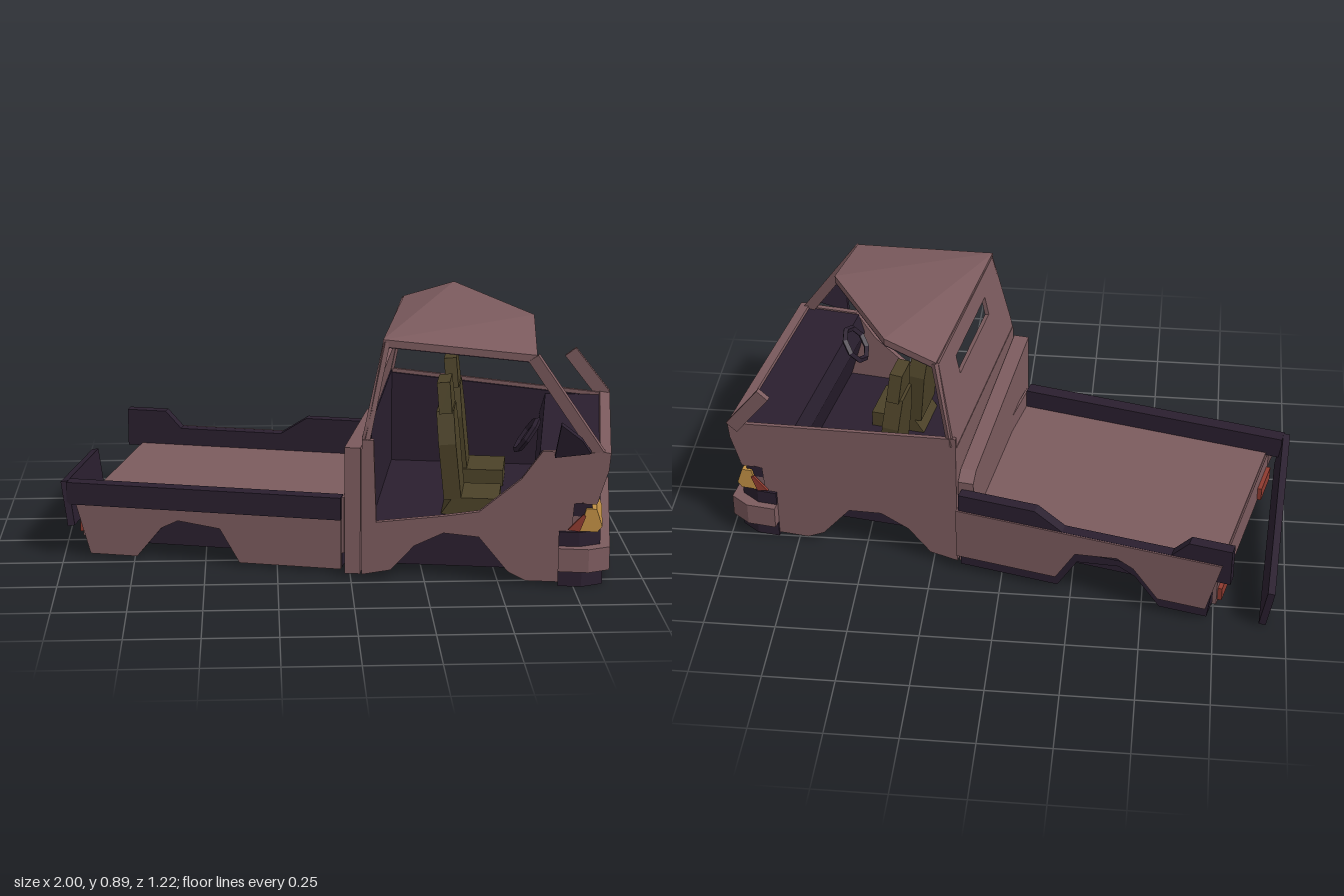
import * as THREE from 'three';

const mat = (name, color, side = THREE.FrontSide) => {
  const m = new THREE.MeshStandardMaterial({ color, side, flatShading: true });
  m.name = name;
  return m;
};

export function createModel() {
  const paint = mat('dusty body paint', 0x7c5b5e, THREE.DoubleSide);
  const dark = mat('dark trim', 0x2a1f2f, THREE.DoubleSide);
  const olive = mat('olive seats', 0x4c4228);
  const amber = mat('amber lamps', 0xc29145);
  const red = mat('red lamps', 0x8e3a30);

  const root = new THREE.Group();
  const cab = new THREE.Group();
  cab.name = 'cab';
  cab.position.set(0.1, 0, 0.05);
  cab.rotation.y = -0.155;
  const bed = new THREE.Group();
  bed.name = 'cargoBed';
  bed.position.set(0.06, 0, 0.01);
  bed.rotation.y = -0.232;
  root.add(cab, bed);

  const add = (parent, name, geo, m) => {
    const mesh = new THREE.Mesh(geo, m);
    mesh.name = name;
    parent.add(mesh);
    return mesh;
  };
  // Box given by its limits on each axis
  const box = (parent, name, m, x0, x1, y0, y1, z0, z1) => {
    const mesh = add(parent, name, new THREE.BoxGeometry(x1 - x0, y1 - y0, z1 - z0), m);
    mesh.position.set((x0 + x1) / 2, (y0 + y1) / 2, (z0 + z1) / 2);
  };
  const shape = (pts) => new THREE.Shape(pts.map((p) => new THREE.Vector2(...p)));
  const extrude = (s, depth) => new THREE.ExtrudeGeometry(s, { depth, bevelEnabled: false });
  // Side outline (x, y) pushed from z0 to z1
  const prismZ = (parent, name, m, pts, z0, z1) =>
    add(parent, name, extrude(shape(pts), z1 - z0).translate(0, 0, z0), m);
  // Plan outline (x, z) pushed from y0 to y1
  const prismY = (parent, name, m, pts, y0, y1) =>
    add(parent, name, extrude(shape(pts.map(([x, z]) => [x, -z])), y1 - y0).rotateX(-Math.PI / 2).translate(0, y0, 0), m);
  // Cross outline (-z, y) pushed along x
  const acrossX = (s, depth) => extrude(s, depth).rotateY(Math.PI / 2);
  // Bar between two points
  const bar = (parent, name, m, a, b, w, d = w) => {
    const p = new THREE.Vector3(...a), q = new THREE.Vector3(...b);
    const mesh = add(parent, name, new THREE.BoxGeometry(w, d, p.distanceTo(q)), m);
    mesh.position.copy(p).lerp(q, 0.5);
    mesh.lookAt(q);
  };
  // Roof skin: a fan with a skirt, or only the underside fan
  const sheet = (top, drop, lid) => {
    const v = [];
    const low = top.map(([x, y, z]) => [x, y - drop, z]);
    for (let i = 0; i < top.length; i++) {
      const j = (i + 1) % top.length;
      if (lid && i > 0 && j > 0) v.push(...top[0], ...top[i], ...top[j]);
      if (lid) v.push(...top[i], ...low[i], ...low[j], ...top[i], ...low[j], ...top[j]);
      if (!lid && i > 0 && j > 0) v.push(...low[0], ...low[j], ...low[i]);
    }
    const g = new THREE.BufferGeometry();
    g.setAttribute('position', new THREE.Float32BufferAttribute(v, 3));
    g.computeVertexNormals();
    return g;
  };

  // Cab sides: open doorway on one side, full door on the other
  const arch = [[0, 0.02], [0.1, 0.04], [0.18, 0.13], [0.28, 0.18], [0.4, 0.17], [0.5, 0.05], [0.56, 0.02], [0.7, 0.02]];
  const nose = [[0.72, 0.3], [0.8, 0.31], [0.825, 0.48]];
  prismZ(cab, 'openCabSide', paint,
    [...arch, ...nose, [0.61, 0.48], [0.54, 0.38], [0.4, 0.26], [0.28, 0.24], [0.05, 0.21], [0.04, 0.5], [0, 0.5]], 0.385, 0.405);
  prismZ(cab, 'doorCabSide', paint, [...arch, ...nose, [0, 0.555]], -0.405, -0.39);
  prismZ(cab, 'doorLining', dark, [[0.02, 0.2], [0.7, 0.2], [0.78, 0.47], [0.02, 0.54]], -0.389, -0.38);

  // Rear wall with its window, leaning forward above the belt
  box(cab, 'lowerRearWall', paint, 0, 0.015, 0.05, 0.51, -0.4, 0.4);
  box(cab, 'rearLining', dark, 0.016, 0.03, 0.2, 0.55, -0.38, 0.38);
  const wall = shape([[-0.4, 0], [0.4, 0], [0.4, 0.05], [0.36, 0.335], [-0.36, 0.335], [-0.4, 0.05]]);
  wall.holes.push(new THREE.Path([[-0.193, 0.19], [-0.193, 0.262], [0.195, 0.262], [0.195, 0.19]].map((p) => new THREE.Vector2(...p))));
  const upper = add(cab, 'upperRearWall', acrossX(wall, 0.015), paint);
  upper.position.y = 0.5;
  upper.rotation.z = -0.2;
  // Panel behind the cab, lower at one end
  const step = add(cab, 'headboard', acrossX(shape([[-0.4, 0.02], [0.4, 0.02], [0.4, 0.37], [0.36, 0.4], [-0.4, 0.47]]), 0.055), paint);
  step.position.x = -0.06;

  // Torn roof and surviving pillars
  const roof = [[0.11, 0.84, 0.42], [0.62, 0.8, 0.5], [0.65, 0.865, 0.17], [0.41, 0.895, -0.26], [0.23, 0.835, -0.3]];
  add(root, 'roof', sheet(roof, 0.025, true), paint);
  add(root, 'roofLining', sheet(roof, 0.027, false), dark);
  bar(root, 'frontPillar', paint, [0.61, 0.79, 0.49], [0.83, 0.47, 0.56], 0.025, 0.04);
  bar(root, 'rearPillar', paint, [0.055, 0.5, 0.44], [0.122, 0.83, 0.415], 0.018);
  bar(root, 'rearPillar', paint, [0.18, 0.52, -0.34], [0.235, 0.83, -0.295], 0.018);
  bar(root, 'brokenPillar', paint, [0.97, 0.47, -0.225], [0.845, 0.63, -0.25], 0.02, 0.05);

  // Nose, grille and bumper
  prismZ(cab, 'nosePanel', paint, [[0.8, 0.485], [0.837, 0.48], [0.832, 0.42], [0.795, 0.3], [0.75, 0.3]], -0.405, 0.405);
  box(cab, 'grilleTop', dark, 0.7, 0.78, 0.255, 0.3, -0.4, 0.4);
  box(cab, 'grilleBar', paint, 0.7, 0.775, 0.218, 0.255, -0.4, 0.4);
  const bumper = (f, w) => [[0.67, -w], [f - 0.07, -w], [f, -w + 0.04], [f, w - 0.04], [f - 0.07, w], [0.67, w]];
  prismY(cab, 'bumperTop', dark, bumper(0.81, 0.415), 0.15, 0.202);
  prismY(cab, 'grilleBase', dark, bumper(0.78, 0.4), 0.2, 0.219);
  prismY(cab, 'bumper', paint, bumper(0.843, 0.443), 0.07, 0.152);
  prismY(cab, 'bumperBottom', dark, bumper(0.82, 0.412), 0.008, 0.07);
  for (const s of [-1, 1]) {
    const z = [s * 0.18, s * 0.41].sort((a, b) => a - b);
    prismZ(cab, 'headlight', amber, [[0.74, 0.205], [0.8, 0.205], [0.815, 0.225], [0.795, 0.285], [0.76, 0.285]], ...z);
    prismZ(cab, 'cornerLamp', red, [[0.7, 0.21], [0.74, 0.205], [0.76, 0.26], [0.75, 0.265]], s * 0.412 - 0.004, s * 0.412 + 0.004);
  }
  // Mirror leaning out from the doorway
  const mirror = prismZ(cab, 'sideMirror', dark, [[0.65, 0], [0.67, 0.13], [0.74, 0.07], [0.77, 0.02]], 0, 0.02);
  mirror.position.set(0, 0.47, 0.405);
  mirror.rotation.x = 0.3;

  // Cab floor, chassis and dashboard
  box(cab, 'cabFloor', dark, 0.01, 0.72, 0.185, 0.2, -0.388, 0.384);
  prismZ(cab, 'cabUnderbody', dark, [...arch, [0.7, 0.19], [0, 0.19]], -0.388, 0.384);
  box(cab, 'cabChassis', dark, 0, 0.6, 0.01, 0.18, -0.25, 0.25);
  prismZ(cab, 'dashboard', dark, [[0.64, 0.2], [0.78, 0.3], [0.8, 0.475], [0.6, 0.475], [0.58, 0.4]], -0.385, 0.384);
  const wheel = add(cab, 'steeringWheel', new THREE.TorusGeometry(0.065, 0.012, 4, 8), dark);
  wheel.position.set(0.55, 0.475, 0.19);
  wheel.rotation.set(0, Math.PI / 2, -0.6, 'ZYX');

  // Seats
  for (const [z, w] of [[-0.18, 0.85], [0.165, 1]]) {
    prismZ(cab, 'seatCushion', olive, [[0.26, 0.2], [0.46, 0.2], [0.46, 0.26], [0.3, 0.26]], z - 0.09, z + 0.09);
    const back = acrossX(shape([[-0.09, 0], [0.09, 0], [0.1, 0.2], [0.065, 0.31], [-0.065, 0.31], [-0.1, 0.2]]), 0.06);
    const rest = acrossX(shape([[-0.085, 0], [0.085, 0], [0.06, 0.105], [-0.06, 0.105]]), 0.045);
    for (const [name, g, x, y] of [['seatBack', back, 0.27, 0.25], ['headrest', rest, 0.25, 0.555]]) {
      const m = add(cab, name, g, olive);
      m.position.set(x, y, z);
      m.rotation.z = 0.1;
      m.scale.z = w;
    }
  }

  // Cargo bed
  const bedSide = [[-0.95, 0.2], [-0.9, 0.02], [-0.73, 0.02], [-0.64, 0.13], [-0.58, 0.16], [-0.43, 0.14], [-0.36, 0.02], [0, 0.02], [0, 0.2]];
  prismZ(bed, 'bedSide', paint, bedSide, 0.38, 0.395);
  // Pushed-up side, with the dark sill showing below it
  prismZ(bed, 'raisedBedSide', paint, bedSide.map(([x, y]) => [x, y + (y < 0.2 ? 0.055 : 0.075)]), -0.412, -0.406);
  prismZ(bed, 'bedUnderbody', dark, bedSide.map(([x, y]) => [Math.max(x, -0.92), Math.min(y, 0.188)]), -0.385, 0.379);
  box(bed, 'bedChassis', dark, -0.88, 0, 0.02, 0.18, -0.25, 0.25);
  box(bed, 'bedFloor', paint, -0.925, 0, 0.19, 0.21, -0.38, 0.38);
  box(bed, 'bedFrontPanel', paint, 0, 0.008, 0.075, 0.275, -0.412, 0.38);
  box(bed, 'bedRearPanel', paint, -0.93, -0.915, 0.08, 0.2, -0.38, 0.38);
  for (const s of [-1, 1]) box(bed, 'tailLamp', red, -0.945, -0.93, 0.09, 0.14, s * 0.295 - 0.07, s * 0.295 + 0.07);
  box(bed, 'bedRail', dark, -0.98, 0, 0.2, 0.28, 0.355, 0.405);
  prismZ(bed, 'dentedRail', dark,
    [[-0.98, 0.2], [0, 0.2], [0, 0.34], [-0.28, 0.34], [-0.38, 0.275], [-0.77, 0.275], [-0.83, 0.34], [-0.98, 0.34]], -0.405, -0.365);

  // Fallen tailgate
  const gate = add(root, 'tailgate', new THREE.BoxGeometry(0.025, 0.16, 0.79), dark);
  gate.position.set(-0.957, 0.148, -0.21);
  gate.rotation.set(-0.14, -0.065, 0.14);
  return root;
}
